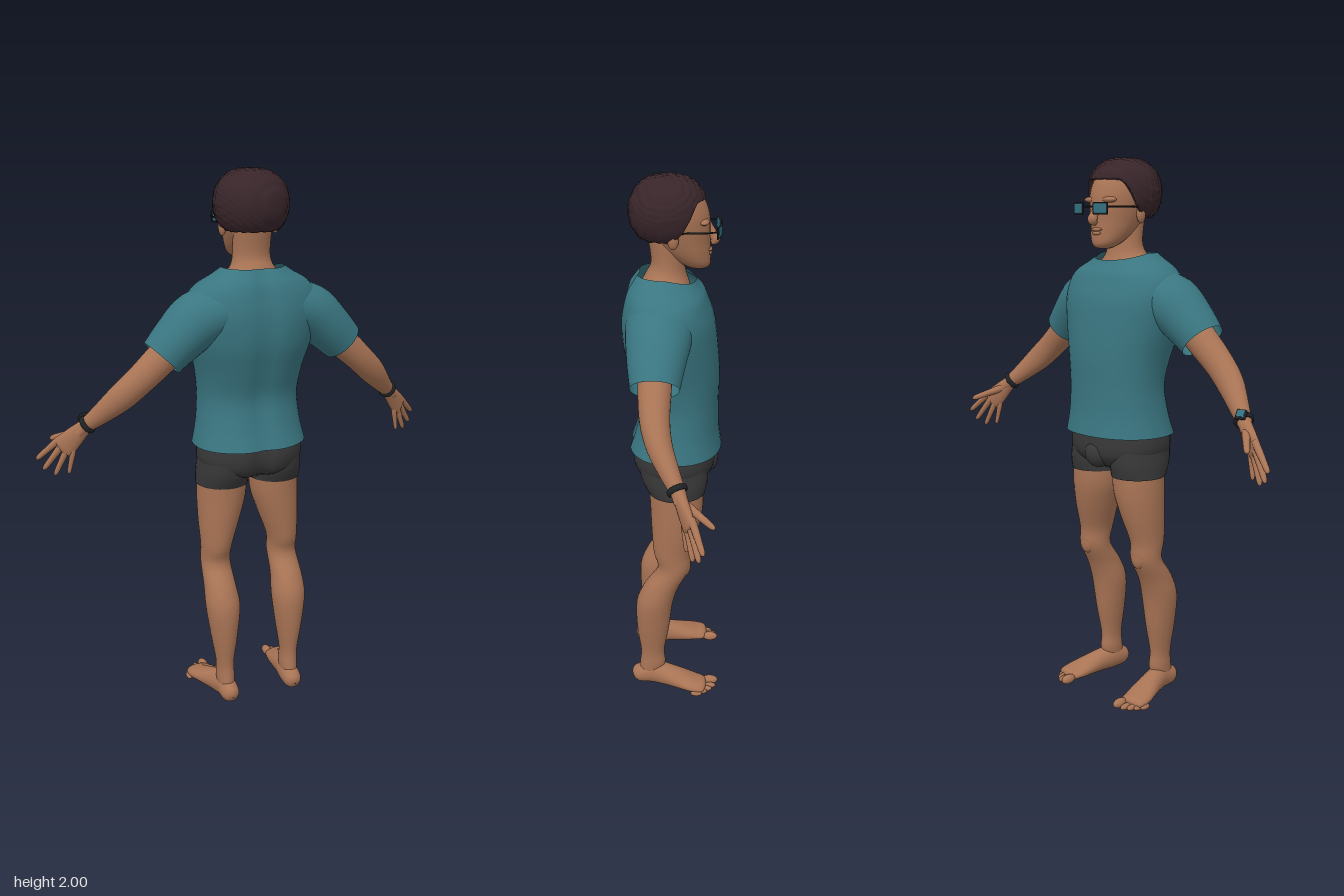
import * as THREE from 'three';
import { RoundedBoxGeometry } from 'three/addons/geometries/RoundedBoxGeometry.js';

const mat = (name, color, side = THREE.FrontSide) => {
  const m = new THREE.MeshStandardMaterial({ color, side });
  m.name = name;
  return m;
};

// Catmull-Rom sampling of section rows [x, y, z, radiusU, radiusV]
function sample(rows, sub) {
  const out = [], last = rows.length - 1;
  for (let i = 0; i < last; i++) {
    const a = rows[Math.max(i - 1, 0)], b = rows[i], c = rows[i + 1], d = rows[Math.min(i + 2, last)];
    for (let k = 0; k < sub; k++) {
      const t = k / sub;
      out.push(b.map((_, q) => 0.5 * (2 * b[q] + (c[q] - a[q]) * t
        + (2 * a[q] - 5 * b[q] + 4 * c[q] - d[q]) * t * t
        + (3 * b[q] - a[q] - 3 * c[q] + d[q]) * t * t * t)));
    }
  }
  out.push(rows[last]);
  return out;
}

// Smooth skin over elliptical sections. Without ref the sections are level;
// with ref they stand across the path, radiusU lying along ref.
function loft(rows, { ref = null, s = 1, n = 28, sub = 4, power = 1, bend = null } = {}) {
  const secs = sample(rows, sub).map(r => [r[0] * s, ...r.slice(1)]);
  const pos = [], idx = [], p = new THREE.Vector3();
  const at = i => new THREE.Vector3(...secs[Math.min(Math.max(i, 0), secs.length - 1)].slice(0, 3));
  const shape = v => Math.sign(v) * Math.abs(v) ** power;
  secs.forEach((r, i) => {
    const t = ref ? at(i + 1).sub(at(i - 1)).normalize() : new THREE.Vector3(0, 1, 0);
    const u = ref ? new THREE.Vector3(ref[0] * s, ref[1], ref[2]) : new THREE.Vector3(1, 0, 0);
    u.addScaledVector(t, -u.dot(t)).normalize();
    const v = t.clone().cross(u);
    for (let j = 0; j < n; j++) {
      const g = j / n * Math.PI * 2;
      p.copy(at(i)).addScaledVector(u, shape(Math.cos(g)) * Math.max(r[3], 1e-4))
        .addScaledVector(v, shape(Math.sin(g)) * Math.max(r[4], 1e-4));
      if (bend) bend(p);
      pos.push(p.x, p.y, p.z);
      if (i < secs.length - 1) {
        const a = i * n + j, b = i * n + (j + 1) % n;
        idx.push(a, b, a + n, b, b + n, a + n);
      }
    }
  });
  const geo = new THREE.BufferGeometry();
  geo.setAttribute('position', new THREE.Float32BufferAttribute(pos, 3));
  geo.setIndex(idx);
  geo.computeVertexNormals();
  return geo;
}

// Cap of hair: a sphere pulled up to the hairline and tucked under at its edge
function hairGeometry() {
  const geo = new THREE.SphereGeometry(1, 72, 44), P = geo.attributes.position;
  for (let i = 0; i < P.count; i++) {
    const x = P.getX(i), y = P.getY(i), z = P.getZ(i);
    const v = Math.acos(THREE.MathUtils.clamp(y, -1, 1)) / Math.PI;
    const f = Math.atan2(x, -z);
    const reach = 1.2 + 1.25 * THREE.MathUtils.smoothstep(Math.abs(f), 0.6, 1.5);
    const th = Math.min(v / 0.94, 1) * reach, flat = Math.sin(th) ** 0.75;
    const X = Math.sin(f) * flat, Y = Math.cos(th), Z = -Math.cos(f) * flat;
    const curl = 1 + 0.012 * Math.sin(31 * X + 9 * Y) * Math.sin(29 * Y + 5 * Z) + 0.012 * Math.sin(33 * Z + 11 * X);
    const k = curl * (v > 0.95 ? 1 - 4 * (v - 0.94) : 1);
    P.setXYZ(i, X * 0.133 * k, Y * 0.118 * k, Z * 0.134 * k);
  }
  geo.computeVertexNormals();
  return geo;
}

export function createModel() {
  const model = new THREE.Group();
  const skin = mat('skin', 0xa97455);
  const shirt = mat('shirtTeal', 0x3a7681, THREE.DoubleSide);
  const shorts = mat('shortsCharcoal', 0x383838, THREE.DoubleSide);
  const hair = mat('hairBrown', 0x38252a);
  const black = mat('frameBlack', 0x1f2224);
  const lens = mat('lensTeal', 0x34707e);

  const add = (name, geo, material, x = 0, y = 0, z = 0) => {
    const m = new THREE.Mesh(geo, material);
    m.name = name;
    m.position.set(x, y, z);
    model.add(m);
    return m;
  };
  const blob = (name, material, x, y, z, a, b, c) =>
    add(name, new THREE.SphereGeometry(1, 20, 14).scale(a, b, c), material, x, y, z);

  // Head and neck
  add('head', loft([[0, 1.683, -0.085, 0.002, 0.002], [0, 1.686, -0.085, 0.025, 0.03], [0, 1.702, -0.075, 0.05, 0.052],
    [0, 1.735, -0.05, 0.07, 0.077], [0, 1.78, -0.025, 0.085, 0.1], [0, 1.83, -0.01, 0.096, 0.116],
    [0, 1.88, 0, 0.1, 0.12], [0, 1.93, 0.01, 0.09, 0.108], [0, 1.96, 0.02, 0.07, 0.08], [0, 1.975, 0.02, 0.002, 0.002]]), skin);
  add('neck', loft([[0, 1.57, 0.03, 0.17, 0.1], [0, 1.63, 0.028, 0.115, 0.085], [0, 1.665, 0.025, 0.08, 0.07],
    [0, 1.71, 0.02, 0.068, 0.057], [0, 1.8, 0.03, 0.07, 0.06]]), skin);
  add('nose', loft([[0, 1.845, -0.118, 0.006, 0.006], [0, 1.805, -0.133, 0.012, 0.014], [0, 1.785, -0.143, 0.018, 0.017],
    [0, 1.771, -0.133, 0.013, 0.01], [0, 1.768, -0.128, 0.001, 0.001]], { ref: [1, 0, 0], n: 16 }), skin);
  blob('upperLip', skin, 0, 1.75, -0.122, 0.026, 0.007, 0.011);
  blob('lowerLip', skin, 0, 1.737, -0.121, 0.022, 0.007, 0.011);
  blob('chin', skin, 0, 1.705, -0.112, 0.026, 0.018, 0.015);
  add('hair', hairGeometry(), hair, 0, 1.88, 0.018);

  // Glasses bridge
  add('glassesBridge', new RoundedBoxGeometry(0.05, 0.006, 0.006, 2, 0.002), black, 0, 1.828, -0.161);

  // Shirt body: neckline dips at the front, spine groove at the back
  add('shirtBody', loft([[0, 1.02, -0.008, 0.212, 0.17], [0, 1.1, -0.015, 0.196, 0.152], [0, 1.2, -0.022, 0.188, 0.143],
    [0, 1.3, -0.01, 0.2, 0.157], [0, 1.4, 0.008, 0.226, 0.168], [0, 1.5, 0.018, 0.246, 0.165], [0, 1.57, 0.025, 0.238, 0.148],
    [0, 1.615, 0.028, 0.2, 0.132], [0, 1.645, 0.027, 0.15, 0.116], [0, 1.668, 0.025, 0.114, 0.104]],
  { n: 48, power: 0.9, bend: p => {
    if (p.z > 0.03) p.z -= 0.014 * Math.exp(-((p.x / 0.035) ** 2));
    if (p.y > 1.6 && p.z < 0.02) p.y += (p.z - 0.02) * 0.25 * (p.y - 1.6) / 0.068;
  } }), shirt);

  // Shorts
  add('shortsSeat', loft([[0, 0.885, -0.01, 0.03, 0.06], [0, 0.91, -0.005, 0.13, 0.12], [0, 0.95, -0.004, 0.192, 0.148],
    [0, 1.02, -0.002, 0.197, 0.15], [0, 1.12, -0.01, 0.175, 0.13]],
  { n: 40, power: 0.9, bend: p => { if (p.z > 0.05) p.z -= 0.03 * Math.exp(-((p.x / 0.03) ** 2)); } }), shorts);
  blob('shortsFront', shorts, 0, 0.95, -0.115, 0.055, 0.055, 0.052);

  for (const s of [1, -1]) {
    const side = s > 0 ? 'left' : 'right';

    // Face details and glasses
    blob(side + 'Ear', skin, s * 0.1, 1.803, -0.002, 0.013, 0.032, 0.019);
    blob(side + 'Brow', skin, s * 0.042, 1.852, -0.104, 0.034, 0.011, 0.018);
    const frame = add(side + 'GlassesFrame', new RoundedBoxGeometry(0.062, 0.042, 0.006, 3, 0.003), black, s * 0.054, 1.822, -0.156);
    const pane = add(side + 'Lens', new RoundedBoxGeometry(0.054, 0.034, 0.009, 3, 0.004), lens, s * 0.054, 1.822, -0.156);
    frame.rotation.y = pane.rotation.y = -s * 0.22;
    const temple = new THREE.CatmullRomCurve3([[0.084, 1.828, -0.15], [0.1, 1.828, -0.11], [0.106, 1.827, -0.03], [0.104, 1.815, 0.015]]
      .map(q => new THREE.Vector3(q[0] * s, q[1], q[2])));
    add(side + 'GlassesTemple', new THREE.TubeGeometry(temple, 16, 0.003, 6), black);

    // Sleeve and arm
    add(side + 'Sleeve', loft([[0.11, 1.53, 0.04, 0.12, 0.09], [0.21, 1.495, 0.043, 0.112, 0.1], [0.285, 1.435, 0.048, 0.098, 0.09],
      [0.348, 1.373, 0.05, 0.083, 0.079]], { ref: [0, 0, 1], s }), shirt);
    add(side + 'Arm', loft([[0.24, 1.47, 0.05, 0.06, 0.06], [0.35, 1.37, 0.05, 0.056, 0.057], [0.43, 1.298, 0.046, 0.05, 0.052],
      [0.495, 1.238, 0.028, 0.043, 0.049], [0.56, 1.176, -0.008, 0.033, 0.036], [0.605, 1.135, -0.035, 0.025, 0.026],
      [0.63, 1.108, -0.047, 0.024, 0.018]], { ref: [0, 0, 1], s }), skin);

    // Hand: palm, then four fingers and the thumb
    const across = [-0.11, -0.05, 0.055];
    add(side + 'Palm', loft([[0.6, 1.14, -0.033, 0.024, 0.022], [0.64, 1.097, -0.053, 0.035, 0.02], [0.673, 1.062, -0.068, 0.041, 0.016],
      [0.686, 1.049, -0.073, 0.036, 0.012], [0.692, 1.044, -0.076, 0.002, 0.002]], { ref: across, s, n: 20 }), skin);
    const digits = [
      ['IndexFinger', [0.698, 1.075, -0.085], [0.77, 1.005, -0.118], 0.011],
      ['MiddleFinger', [0.687, 1.057, -0.077], [0.75, 0.967, -0.105], 0.011],
      ['RingFinger', [0.67, 1.045, -0.066], [0.714, 0.948, -0.085], 0.0105],
      ['LittleFinger', [0.65, 1.04, -0.056], [0.668, 0.955, -0.064], 0.009],
      ['Thumb', [0.632, 1.108, -0.06], [0.71, 1.066, -0.152], 0.0125]];
    for (const [name, a, b, r] of digits) {
      const rows = [[-0.2, 1.1], [0.15, 1.15], [0.5, 1], [0.85, 0.85], [0.97, 0.5], [1, 0.02]]
        .map(([t, k]) => [...a.map((q, i) => q + (b[i] - q) * t), r * k, r * k]);
      add(side + name, loft(rows, { ref: across, s, n: 12, sub: 3 }), skin);
    }

    // Wrist band, with a dial on the right wrist
    const along = new THREE.Vector3(s * 0.66, -0.62, -0.4).normalize();
    const band = add(side + 'WristBand', new THREE.TorusGeometry(0.029, 0.006, 8, 28), black, s * 0.6, 1.14, -0.032);
    band.scale.z = 1.7;
    band.quaternion.setFromUnitVectors(new THREE.Vector3(0, 0, 1), along);
    if (s < 0) {
      const out = new THREE.Vector3(-0.35, 0.5, -0.75);
      out.addScaledVector(along, -out.dot(along)).normalize();
      const place = (name, geo, m, d) => {
        const q = band.position.clone().addScaledVector(out, d);
        add(name, geo, m, q.x, q.y, q.z).lookAt(q.clone().add(out));
      };
      place('watchCase', new RoundedBoxGeometry(0.036, 0.036, 0.012, 2, 0.004), black, 0.034);
      place('watchDial', new THREE.BoxGeometry(0.026, 0.026, 0.004), lens, 0.04);
    }

    // Shorts leg and bare leg
    add(side + 'ShortsLeg', loft([[0.105, 0.866, -0.016, 0.098, 0.104], [0.104, 0.92, -0.008, 0.097, 0.122],
      [0.1, 1.0, 0, 0.09, 0.125]], { s }), shorts);
    add(side + 'Leg', loft([[0.134, 0.04, 0.09, 0.03, 0.045], [0.133, 0.1, 0.078, 0.034, 0.05], [0.134, 0.16, 0.078, 0.033, 0.046],
      [0.135, 0.27, 0.075, 0.05, 0.062], [0.136, 0.39, 0.068, 0.065, 0.07], [0.138, 0.47, 0.04, 0.06, 0.067],
      [0.137, 0.55, -0.006, 0.056, 0.061], [0.135, 0.62, 0, 0.058, 0.07], [0.121, 0.72, -0.01, 0.077, 0.088],
      [0.107, 0.82, -0.016, 0.092, 0.099], [0.102, 0.95, -0.01, 0.092, 0.1]], { s }), skin);
    blob(side + 'Kneecap', skin, s * 0.137, 0.56, -0.05, 0.032, 0.042, 0.02);

    // Foot and toes, turned slightly outward
    add(side + 'Foot', loft([[0.132, 0.035, 0.158, 0.002, 0.002], [0.132, 0.037, 0.152, 0.022, 0.024], [0.132, 0.042, 0.13, 0.035, 0.038],
      [0.134, 0.051, 0.075, 0.038, 0.048], [0.146, 0.046, 0.02, 0.042, 0.043], [0.16, 0.036, -0.04, 0.051, 0.033],
      [0.172, 0.027, -0.09, 0.054, 0.024], [0.172, 0.022, -0.125, 0.044, 0.018], [0.172, 0.02, -0.135, 0.002, 0.002]],
    { ref: [1, 0, 0], s }), skin);
    [[0.143, -0.15, 0.018, 0.032], [0.171, -0.146, 0.012, 0.028], [0.191, -0.133, 0.0115, 0.026],
      [0.208, -0.116, 0.011, 0.024], [0.222, -0.097, 0.0105, 0.022]]
      .forEach(([x, z, r, len], i) => blob(side + 'Toe' + (i + 1), skin, s * x, r + 0.002, z, r, r, len));
  }
  return model;
}
